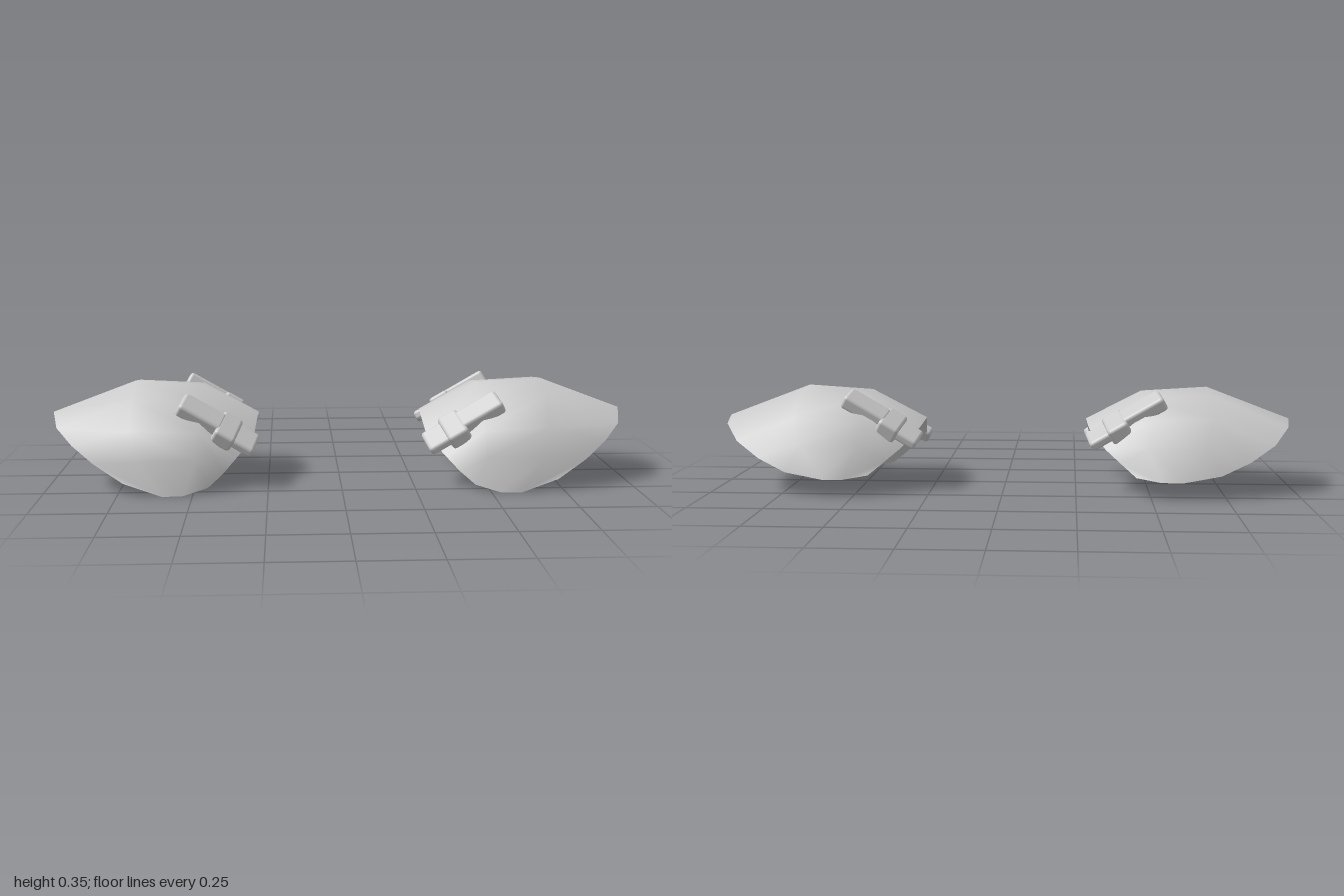
import * as THREE from 'three';
import { RoundedBoxGeometry } from 'three/addons/geometries/RoundedBoxGeometry.js';

const grey = new THREE.MeshStandardMaterial({ color: 0xcccccc });
grey.name = 'grey';

// Shell cross-sections from front to back: inner rim, two crest points, outer rim
const ROWS = [
  [[.45, .02, .275], [.53, 0, .303], [.60, 0, .31], [.73, .04, .287]],
  [[.40, .06, .24], [.49, .115, .285], [.68, .115, .293], [.83, .10, .255]],
  [[.36, .10, .20], [.48, .20, .25], [.70, .21, .255], [.91, .15, .195]],
  [[.30, .16, .13], [.48, .29, .15], [.71, .30, .15], [.97, .20, .135]],
  [[.285, .23, .02], [.48, .33, .03], [.71, .345, .03], [1, .235, .02]],
  [[.295, .21, -.10], [.48, .315, -.10], [.71, .327, -.10], [.975, .22, -.11]],
  [[.35, .15, -.19], [.48, .25, -.21], [.71, .26, -.215], [.92, .17, -.19]],
  [[.40, .11, -.24], [.49, .17, -.27], [.68, .17, -.275], [.83, .12, -.25]],
  [[.45, .07, -.28], [.53, .06, -.31], [.60, .06, -.314], [.73, .08, -.29]],
];
const HOLLOW = [.62, .2, .03];

// Indexed smooth mesh, mirrored in x when side is -1
function surface(name, points, triangles, side) {
  const g = new THREE.BufferGeometry();
  const pos = points.flatMap(([x, y, z]) => [x * side, y, z]);
  g.setAttribute('position', new THREE.Float32BufferAttribute(pos, 3));
  g.setIndex(triangles.flatMap(([a, b, c]) => (side > 0 ? [a, b, c] : [a, c, b])));
  g.computeVertexNormals();
  const mesh = new THREE.Mesh(g, grey);
  mesh.name = name;
  return mesh;
}

// Domed outer shell
function shell(side) {
  const tris = [];
  for (let j = 0; j < ROWS.length - 1; j++) {
    for (let i = 0; i < 3; i++) {
      const a = j * 4 + i, b = a + 1, c = a + 4, d = a + 5;
      tris.push([a, b, d], [a, d, c]);
    }
  }
  return surface('padShell', ROWS.flat(), tris, side);
}

// Hollow underside, fanned from the rim to a raised centre
function underside(side) {
  const last = ROWS[ROWS.length - 1];
  const rim = [
    ...ROWS.map(r => r[0]), last[1], last[2],
    ...ROWS.map(r => r[3]).reverse(), ROWS[0][2], ROWS[0][1],
  ];
  const n = rim.length;
  const tris = rim.map((_, k) => [k, (k + 1) % n, n]);
  return surface('padUnderside', [...rim, HOLLOW], tris, side);
}

// Strap, keeper loop and end tab lying along the shell
function clasp(name, side, normal, z, lift) {
  const group = new THREE.Group();
  group.name = name;
  const along = new THREE.Vector3(.86 * side, .5, 0).normalize();
  const up = new THREE.Vector3(normal[0] * side, normal[1], normal[2]);
  up.addScaledVector(along, -up.dot(along)).normalize();
  const across = new THREE.Vector3().crossVectors(along, up);
  const frame = new THREE.Matrix4().makeBasis(along, up, across);
  const parts = [
    ['strap', [.16, .05, .085], [.475, .25]],
    ['keeperLoop', [.075, .06, .125], [.39, .193]],
    ['endTab', [.085, .035, .1], [.33, .16]],
  ];
  for (const [part, size, [x, y]] of parts) {
    const mesh = new THREE.Mesh(new RoundedBoxGeometry(...size, 2, .012), grey);
    mesh.name = part;
    mesh.quaternion.setFromRotationMatrix(frame);
    mesh.position.set(x * side, y + lift, z);
    group.add(mesh);
  }
  return group;
}

export function createModel() {
  const model = new THREE.Group();
  model.name = 'shoulderPads';
  for (const side of [1, -1]) {
    const pad = new THREE.Group();
    pad.name = side > 0 ? 'leftPad' : 'rightPad';
    pad.add(
      shell(side),
      underside(side),
      clasp('frontClasp', side, [-.45, .75, .48], .18, 0),
      clasp('backClasp', side, [-.45, .82, -.33], -.15, .03),
    );
    model.add(pad);
  }
  return model;
}
